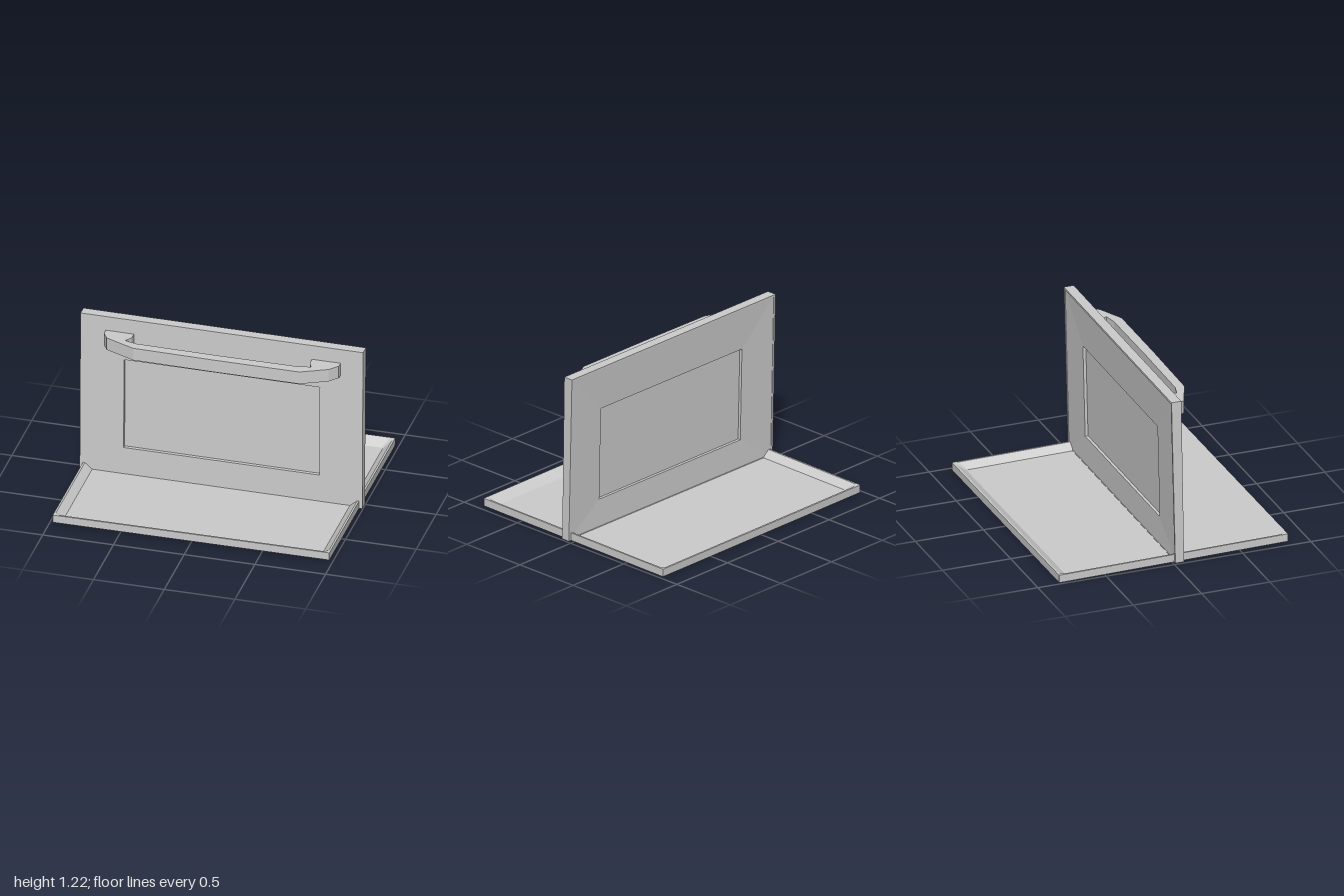
import * as THREE from 'three';

const material = new THREE.MeshStandardMaterial({ color: 0xcccccc, flatShading: true });

// Joins counter-clockwise rings of [x, y, z] into a closed solid, with both ends capped
function loft(rings) {
  const pos = [];
  const tri = (a, b, c) => pos.push(...a, ...b, ...c);
  const n = rings[0].length;
  for (let r = 0; r < rings.length - 1; r++) {
    const a = rings[r], b = rings[r + 1];
    for (let i = 0; i < n; i++) {
      const j = (i + 1) % n;
      tri(a[i], a[j], b[j]);
      tri(a[i], b[j], b[i]);
    }
  }
  const first = rings[0], last = rings[rings.length - 1];
  for (let i = 1; i < n - 1; i++) {
    tri(first[0], first[i + 1], first[i]);
    tri(last[0], last[i], last[i + 1]);
  }
  const geo = new THREE.BufferGeometry();
  geo.setAttribute('position', new THREE.Float32BufferAttribute(pos, 3));
  geo.computeVertexNormals();
  return geo;
}

function part(name, geo) {
  const mesh = new THREE.Mesh(geo, material);
  mesh.name = name;
  return mesh;
}

// Rectangle with clipped corners, at height z
function clippedRect(hx, hy, cut, z) {
  return [
    [hx - cut, -hy, z], [hx, -hy + cut, z], [hx, hy - cut, z], [hx - cut, hy, z],
    [-hx + cut, hy, z], [-hx, hy - cut, z], [-hx, -hy + cut, z], [-hx + cut, -hy, z],
  ];
}

// Shallow tray with a thin rim and sloping inner walls
function createTray() {
  const geo = loft([
    clippedRect(0.977, 0.84, 0.002, 0),
    clippedRect(0.977, 0.84, 0.002, 0.056),
    clippedRect(0.964, 0.827, 0.025, 0.056),
    clippedRect(0.912, 0.76, 0.01, 0.012),
  ]);
  geo.rotateX(-Math.PI / 2);
  const tray = part('tray', geo);
  tray.position.y = 0.01;
  tray.rotation.set(-0.0107, 0.004, 0);
  return tray;
}

// Door panel leaning back, thicker at the top, with a recessed window on both sides
function createDoorPanel() {
  const frontZ = (y) => 0.075 - 0.0165 * y;
  const backZ = (y) => 0.012 - 0.024 * y;
  const rect = (x0, x1, y0, y1, depth, face) =>
    [[x0, y0], [x1, y0], [x1, y1], [x0, y1]].map(([x, y]) => [x, y, face(y) + depth]);
  const win = [-0.69, 0.695, 0.225, 0.905];
  const outer = [-1, 1, 0.01, 1.22];
  return part('doorPanel', loft([
    rect(...win, 0.033, backZ),
    rect(...win, 0.012, backZ),
    rect(-0.985, 0.985, 0.025, 1.205, 0.004, backZ),
    rect(-0.985, 0.985, 0.025, 1.205, 0, backZ),
    rect(...outer, 0, backZ),
    rect(...outer, 0, frontZ),
    rect(...win, 0, frontZ),
    rect(...win, -0.025, frontZ),
  ]));
}

// Angular pull handle, drawn from above and extruded downwards
function createHandle() {
  const outline = [
    [-0.822, 0.045], [-0.82, 0.1], [-0.785, 0.157], [-0.575, 0.246], [0, 0.252],
    [0.605, 0.25], [0.785, 0.163], [0.84, 0.1], [0.843, 0.045],
    [0.638, 0.045], [0.64, 0.115], [0.662, 0.16], [0.565, 0.179], [0, 0.183],
    [-0.57, 0.179], [-0.655, 0.157], [-0.622, 0.112], [-0.62, 0.045],
  ];
  const shape = new THREE.Shape(outline.map(([x, z]) => new THREE.Vector2(x, z)));
  const geo = new THREE.ExtrudeGeometry(shape, { depth: 0.093, bevelEnabled: false });
  geo.rotateX(Math.PI / 2);
  geo.translate(0, 1.114, 0);
  return part('handle', geo);
}

export function createModel() {
  const model = new THREE.Group();
  model.name = 'ovenDoorAndTray';

  const door = new THREE.Group();
  door.name = 'door';
  door.add(createDoorPanel(), createHandle());
  door.rotation.y = -0.004;

  model.add(createTray(), door);
  return model;
}
